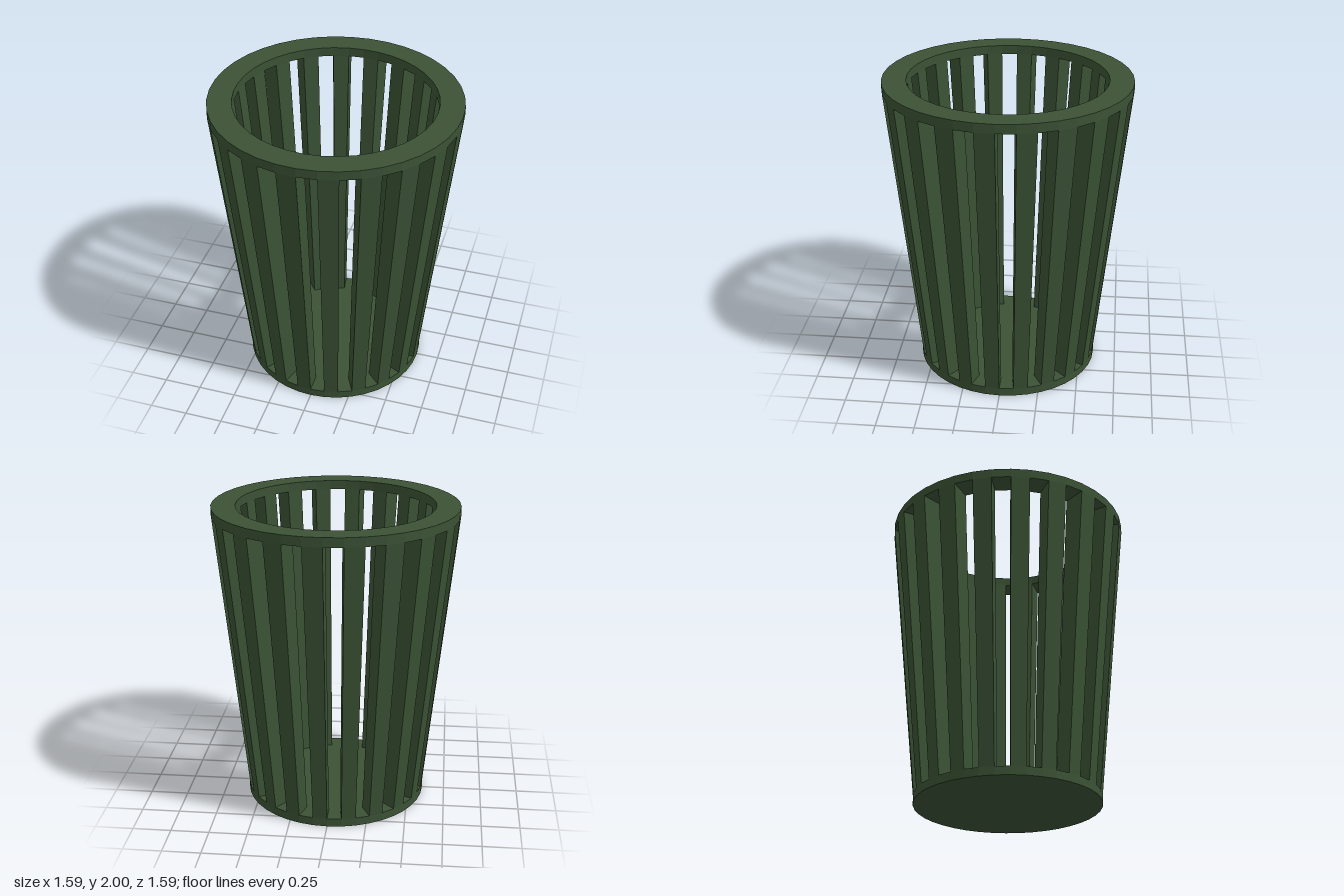
import * as THREE from 'three';

const SLATS = 20;
const SIDES = SLATS * 2; // one side per slat, one per gap
const BASE_H = 0.055, RIM_Y = 1.94, TOP_Y = 2;
const BASE_OUT = 0.6, BASE_IN = 0.48, RIM_OUT = 0.795, RIM_IN = 0.64;

// Box whose corners are bent into a leaning slat: x -> angle, y -> height, z -> radius
function slatGeometry() {
  const geo = new THREE.BoxGeometry(1, 1, 1);
  const pos = geo.attributes.position;
  const width = (Math.PI * 2) / SIDES;
  for (let i = 0; i < pos.count; i++) {
    const angle = (pos.getX(i) - 0.5) * width;
    const t = pos.getY(i) + 0.5;
    const outer = THREE.MathUtils.lerp(BASE_OUT, RIM_OUT, t);
    const inner = THREE.MathUtils.lerp(BASE_IN, RIM_IN, t);
    const r = pos.getZ(i) > 0 ? outer : inner;
    const y = THREE.MathUtils.lerp(BASE_H, RIM_Y, t);
    pos.setXYZ(i, Math.sin(angle) * r, y, Math.cos(angle) * r);
  }
  geo.computeVertexNormals();
  return geo;
}

export function createModel() {
  const model = new THREE.Group();
  model.name = 'slattedBasket';
  const material = new THREE.MeshStandardMaterial({ color: 0x3b5235, flatShading: true });

  // Solid floor disc
  const base = new THREE.Mesh(
    new THREE.CylinderGeometry(BASE_OUT, BASE_OUT, BASE_H, SIDES), material);
  base.position.y = BASE_H / 2;
  base.name = 'base';
  model.add(base);

  // Flat rim ring
  const profile = [
    [RIM_IN, RIM_Y], [RIM_OUT, RIM_Y], [RIM_OUT, TOP_Y], [RIM_IN, TOP_Y], [RIM_IN, RIM_Y],
  ].map(([r, y]) => new THREE.Vector2(r, y));
  const rim = new THREE.Mesh(new THREE.LatheGeometry(profile, SIDES), material);
  rim.name = 'rim';
  model.add(rim);

  // Slats leaning outwards from base to rim
  const slats = new THREE.Group();
  slats.name = 'slats';
  const geo = slatGeometry();
  for (let i = 0; i < SLATS; i++) {
    const slat = new THREE.Mesh(geo, material);
    slat.rotation.y = (i / SLATS) * Math.PI * 2;
    slat.name = 'slat';
    slats.add(slat);
  }
  model.add(slats);

  return model;
}
